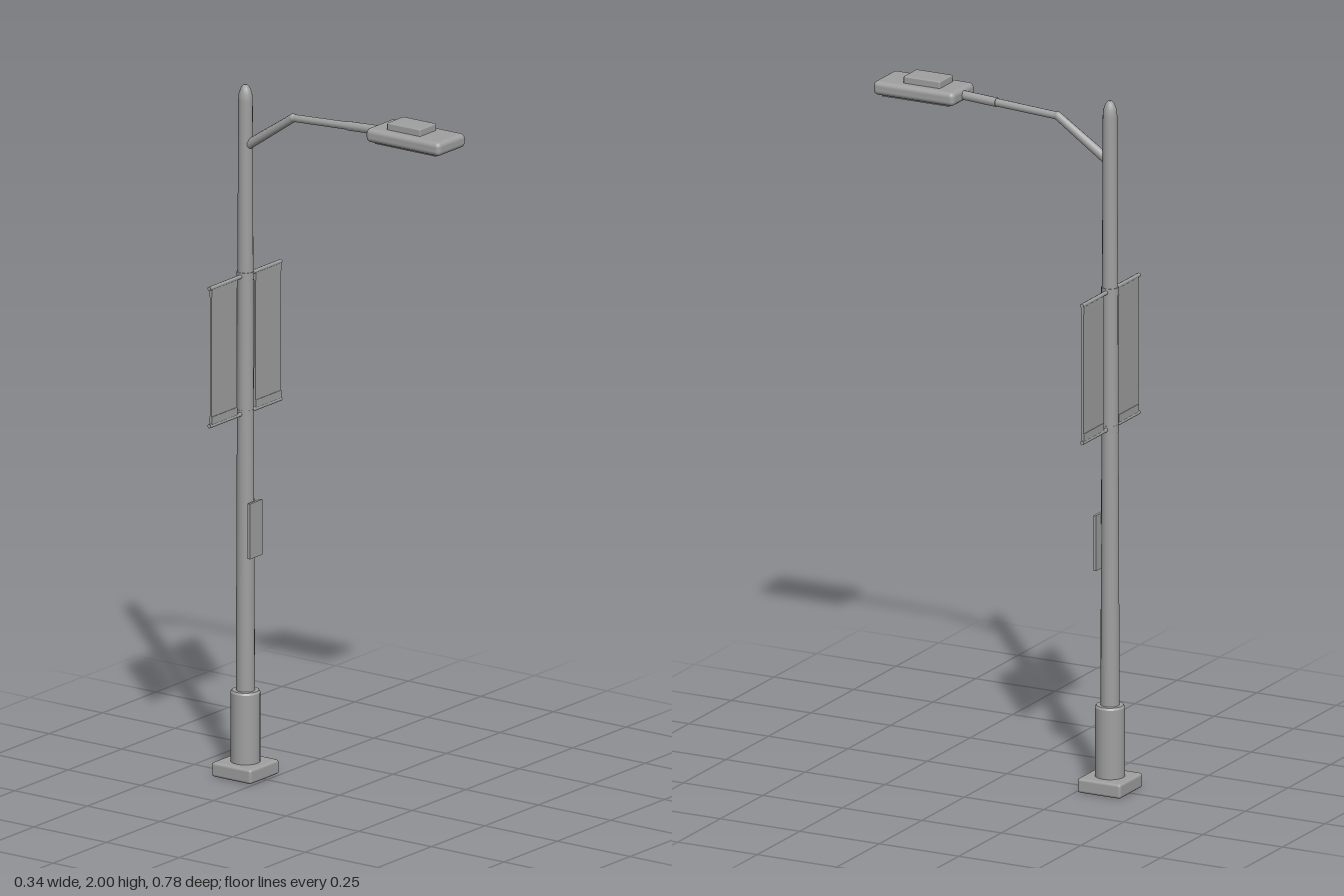
import * as THREE from 'three';
import { RoundedBoxGeometry } from 'three/addons/geometries/RoundedBoxGeometry.js';

export function createModel() {
  const lamp = new THREE.Group();
  lamp.name = 'streetLamp';
  const grey = new THREE.MeshStandardMaterial({ color: 0xa0a0a0 });
  grey.name = 'grey metal';
  const poleZ = -0.324;

  const add = (name, geometry, x = 0, y = 0, z = poleZ) => {
    const mesh = new THREE.Mesh(geometry, grey);
    mesh.name = name;
    mesh.position.set(x, y, z);
    lamp.add(mesh);
    return mesh;
  };

  // Tapered tube between two points, used for the lamp arm
  const strut = (name, a, b, rA, rB) => {
    const dir = b.clone().sub(a);
    const mid = a.clone().add(b).multiplyScalar(0.5);
    const mesh = add(name, new THREE.CylinderGeometry(rB, rA, dir.length(), 10), mid.x, mid.y, mid.z);
    mesh.quaternion.setFromUnitVectors(new THREE.Vector3(0, 1, 0), dir.normalize());
  };

  // Foot block and the sleeve around the bottom of the pole
  add('footBlock', new RoundedBoxGeometry(0.136, 0.042, 0.136, 2, 0.008), 0, 0.023);
  const sleeve = [[0, 0.01], [0.042, 0.01], [0.042, 0.01], [0.042, 0.244], [0.042, 0.244],
    [0.038, 0.25], [0.038, 0.25], [0.02, 0.25]];
  add('sleeve', new THREE.LatheGeometry(sleeve.map(p => new THREE.Vector2(...p)), 20));

  // Tapered pole with a blunt pointed cap
  const pole = [[0.027, 0.2], [0.0205, 1.955], [0.019, 1.975], [0.013, 1.992], [0.006, 2], [0, 2]];
  add('pole', new THREE.LatheGeometry(pole.map(p => new THREE.Vector2(...p)), 16));

  // Small notice plate on the front of the pole
  add('noticePlate', new THREE.BoxGeometry(0.058, 0.16, 0.008), 0, 0.72, -0.291);

  // Bent arm reaching forward, with a socket where it enters the head
  const root = new THREE.Vector3(0, 1.828, -0.315);
  const elbow = new THREE.Vector3(0, 1.933, -0.16);
  const tip = new THREE.Vector3(0, 1.951, 0.15);
  strut('armBrace', root, elbow, 0.014, 0.012);
  strut('armBeam', elbow, tip, 0.011, 0.012);
  strut('armSocket', elbow.clone().lerp(tip, 0.62), tip, 0.0135, 0.0135);
  add('armElbow', new THREE.SphereGeometry(0.0125, 10, 8), 0, elbow.y, elbow.z);

  // Lamp head with a control box on top and a lens below
  add('lampHead', new RoundedBoxGeometry(0.13, 0.04, 0.255, 3, 0.014), 0, 1.951, 0.262);
  add('controlBox', new RoundedBoxGeometry(0.077, 0.028, 0.115, 2, 0.004), 0, 1.977, 0.248);
  add('lens', new THREE.BoxGeometry(0.096, 0.008, 0.21), 0, 1.93, 0.262);

  // Banner rods pass through the pole, one above and one below
  for (const y of [1.052, 1.45]) {
    const rod = add('bannerRod', new THREE.CylinderGeometry(0.006, 0.006, 0.335, 8), -0.002, y);
    rod.rotation.z = Math.PI / 2;
    add('rodCollar', new THREE.CylinderGeometry(0.0245, 0.0245, 0.022, 16), 0, y);
  }

  // Two hanging banners with folded hems
  for (const side of [-1, 1]) {
    const x = side * 0.103;
    add('banner', new THREE.BoxGeometry(0.118, 0.396, 0.006), x, 1.251);
    for (const y of [1.066, 1.436]) {
      add('bannerHem', new THREE.BoxGeometry(0.118, 0.024, 0.009), x, y);
    }
  }

  return lamp;
}
